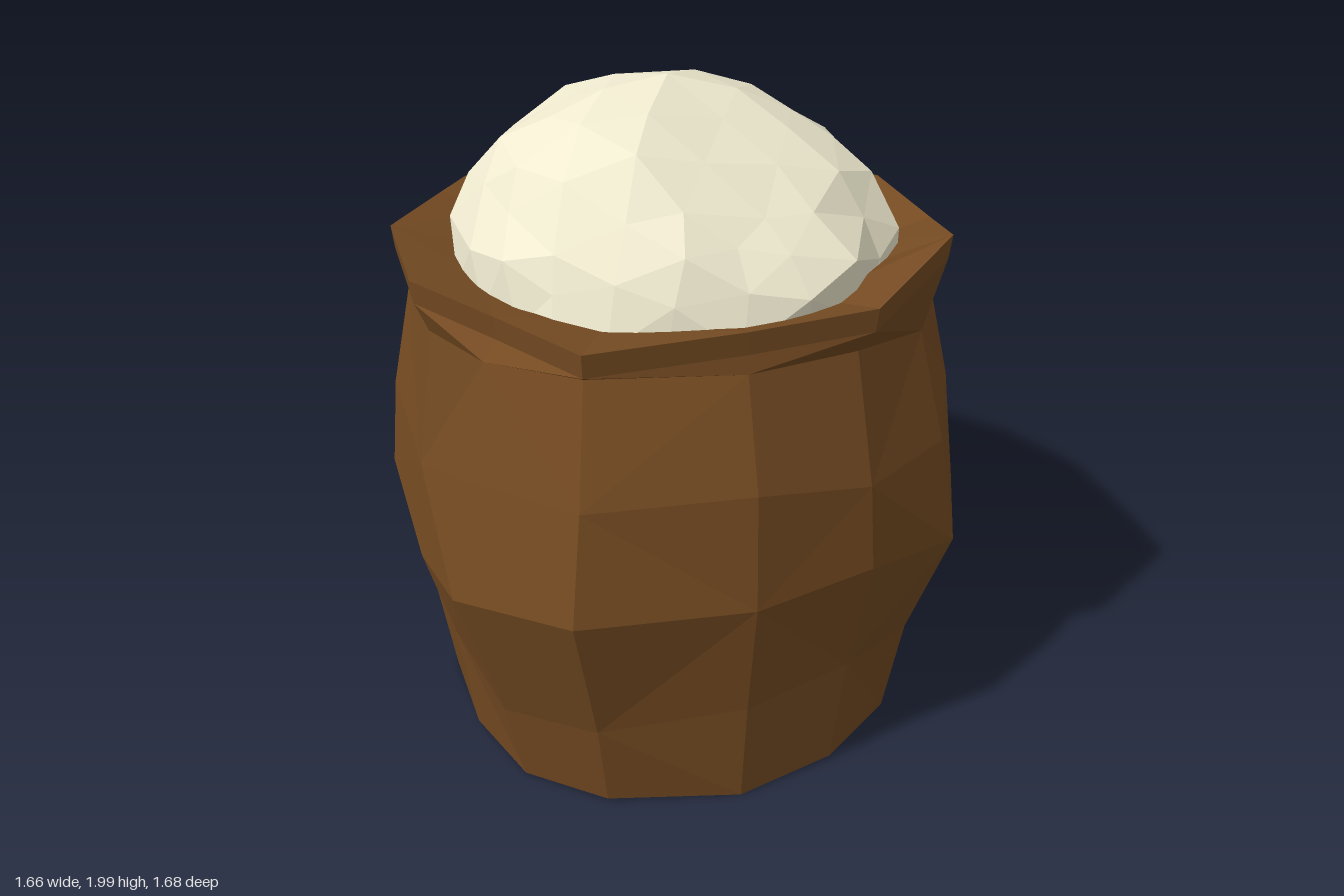
import * as THREE from 'three';
import { mergeVertices } from 'three/addons/utils/BufferGeometryUtils.js';

// Columns around the sack: degrees from the front towards +x, extra girth, rim radius, rim height
const COLUMNS = [
  [0, 0, .72, 1.53], [26, .01, .81, 1.55], [51, .08, .84, 1.64], [70, .05, .76, 1.58],
  [101, -.02, .74, 1.56], [128, -.02, .79, 1.51], [154, .01, .85, 1.53], [180, 0, .78, 1.53],
  [207, .01, .80, 1.54], [232, -.02, .74, 1.54], [257, .01, .80, 1.56], [284, 0, .81, 1.55],
  [306, .13, .75, 1.53], [328, .12, .83, 1.52],
];
const N = COLUMNS.length;

// Body sections: radius, height, share of the extra girth, shift in z, stretch in x
const BODY = [
  [.705, .025, .2, .045, 1],
  [.755, .35, .35, .03, 1],
  [.84, .73, 1, 0, 1],
  [.82, 1.04, .5, 0, 1],
  [.695, 1.4, .2, .025, 1.1],
];

// Small repeatable random numbers between -0.5 and 0.5
function makeJitter(seed) {
  return () => {
    seed = (seed * 16807) % 2147483647;
    return seed / 2147483647 - 0.5;
  };
}

// One ring of points; radius, height, shift and stretch are chosen per column
function ring(rule) {
  return COLUMNS.map((column) => {
    const a = THREE.MathUtils.degToRad(column[0]);
    const [r, y, shift = 0, stretch = 1] = rule(column);
    return [r * Math.sin(a) * stretch, y, r * Math.cos(a) + shift];
  });
}

// Body, folded lip, rim and the inside of the mouth, skinned with alternating diagonals
function sack() {
  const jitter = makeJitter(11);
  const rings = [ring(() => [0, 0.03])];
  BODY.forEach(([r, y, share, shift, stretch], i) => {
    const rough = i === 0 ? 0.03 : 0.12;
    rings.push(ring(([, girth, , rimY]) => {
      // the neck is pulled down where the rim peaks
      const height = i === 4 ? y - 0.7 * (rimY - 1.54) : y + rough * jitter();
      return [r + share * girth, height, shift, stretch];
    }));
  });
  rings.push(
    ring(([, , rimR, rimY]) => [rimR * 0.99, rimY - 0.07]),
    ring(([, , rimR, rimY]) => [rimR, rimY]),
    ring(() => [0.58, 1.5]),
    ring(() => [0, 1.45]),
  );

  const index = [];
  for (let i = 0; i < rings.length - 1; i++) {
    for (let j = 0; j < N; j++) {
      const k = (j + 1) % N;
      const a = i * N + j, b = i * N + k, c = b + N, d = a + N;
      if ((i + j) % 2) index.push(a, b, c, a, c, d);
      else index.push(a, b, d, b, c, d);
    }
  }
  const geo = new THREE.BufferGeometry();
  geo.setAttribute('position', new THREE.Float32BufferAttribute(rings.flat(2), 3));
  geo.setIndex(index);
  geo.computeVertexNormals();
  return geo;
}

// Lumpy faceted dome filling the mouth of the sack
function heap() {
  let geo = new THREE.IcosahedronGeometry(1, 3);
  geo.deleteAttribute('normal');
  geo.deleteAttribute('uv');
  geo = mergeVertices(geo, 1e-3);
  const p = geo.attributes.position;
  const jitter = makeJitter(7);
  const bump = (x, z, cx, cz, w) => Math.exp(-((x - cx) ** 2 + (z - cz) ** 2) / (w * w));
  for (let i = 0; i < p.count; i++) {
    const up = p.getY(i);
    const x = p.getX(i) * 0.65 + jitter() * 0.05;
    const z = p.getZ(i) * 0.65 + 0.03 + jitter() * 0.05;
    const lumps = 0.06 * bump(x, z, 0.03, -0.08, 0.2) + 0.07 * bump(x, z, -0.2, 0.18, 0.2)
      - 0.06 * bump(x, z, 0.15, 0.4, 0.25);
    const y = up > 0.05 ? 1.52 + 0.43 * Math.pow(up, 1.1) + lumps + jitter() * 0.04 : 1.46;
    p.setXYZ(i, x, Math.min(y, 2), z);
  }
  geo.computeVertexNormals();
  return geo;
}

export function createModel() {
  const group = new THREE.Group();
  const add = (name, geo, color) => {
    const mat = new THREE.MeshStandardMaterial({ color, flatShading: true, side: THREE.DoubleSide });
    const mesh = new THREE.Mesh(geo, mat);
    mesh.name = name;
    group.add(mesh);
  };
  add('sack', sack(), 0x754b22);
  add('flourHeap', heap(), 0xf0ebd0);
  return group;
}
